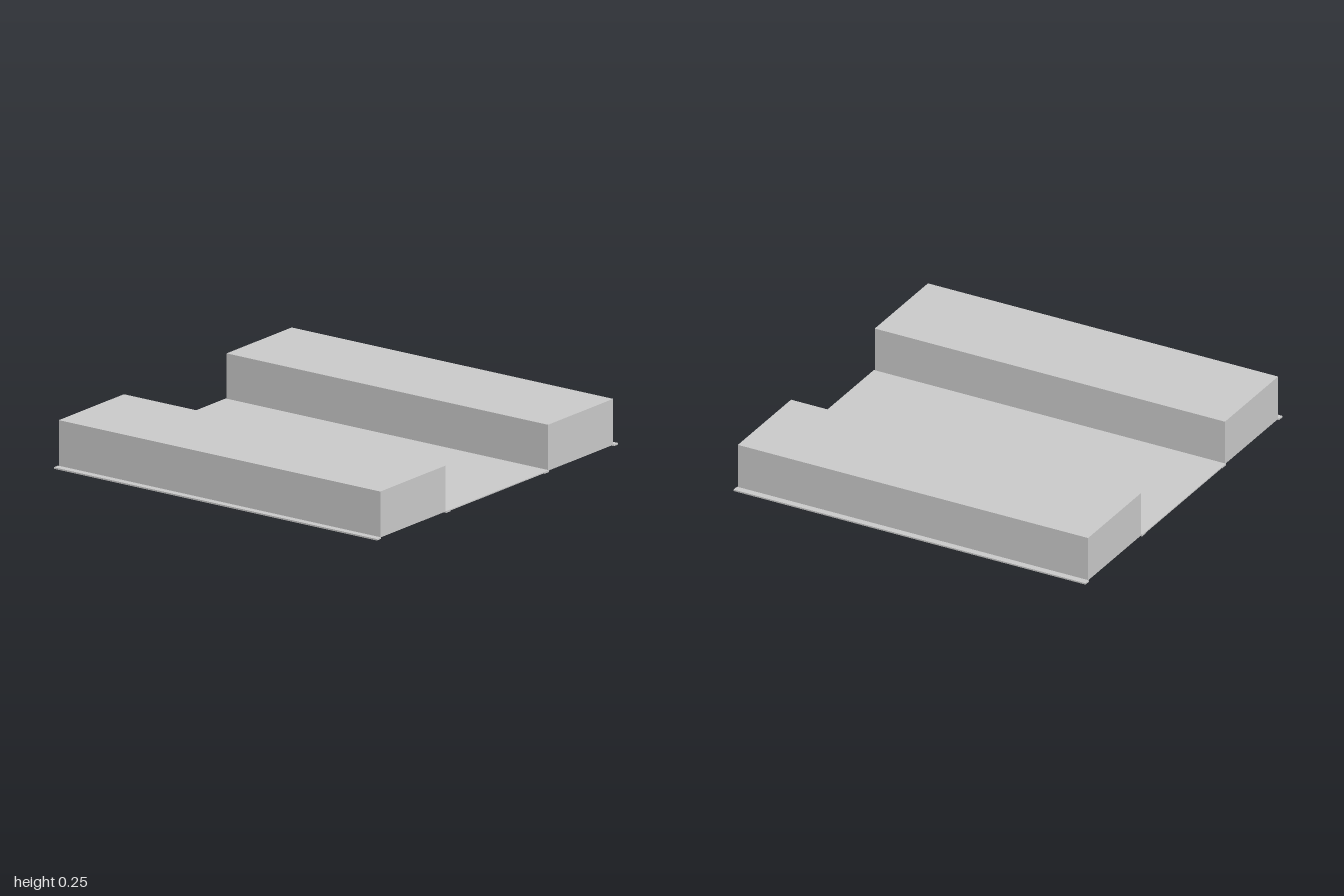
import * as THREE from 'three';

// Recessed twin-tube ceiling light: two open-bottomed housings with louvre blades
export function createModel() {
  const model = new THREE.Group();
  const mat = new THREE.MeshStandardMaterial({ color: 0xcccccc, side: THREE.DoubleSide });

  // Box given by its lower and upper corners
  const box = (parent, name, [x0, y0, z0], [x1, y1, z1]) => {
    const mesh = new THREE.Mesh(new THREE.BoxGeometry(x1 - x0, y1 - y0, z1 - z0), mat);
    mesh.position.set((x0 + x1) / 2, (y0 + y1) / 2, (z0 + z1) / 2);
    mesh.name = name;
    parent.add(mesh);
  };
  const rod = (parent, name, radius, length, y, z) => {
    const mesh = new THREE.Mesh(new THREE.CylinderGeometry(radius, radius, length, 24), mat);
    mesh.rotation.x = Math.PI / 2;
    mesh.position.set(0, y, z);
    mesh.name = name;
    parent.add(mesh);
  };

  const half = 0.27, height = 0.245, end = 0.995, t = 0.004, lip = 0.035;

  // Flat panel between the housings
  box(model, 'centrePanel', [-0.425, 0.004, -1], [0.425, 0.01, 1]);

  for (const side of [-1, 1]) {
    const housing = new THREE.Group();
    housing.name = side > 0 ? 'leftHousing' : 'rightHousing';
    housing.position.x = side * 0.695;

    // Shell, open at the bottom
    box(housing, 'housingTop', [-half, height - t, -end], [half, height, end]);
    for (const s of [-1, 1]) {
      const wall = s * (half - t / 2), endWall = s * (end - t / 2);
      box(housing, 'sideWall', [wall - t / 2, 0.003, -end], [wall + t / 2, height - t, end]);
      box(housing, 'endWall', [-half + t, 0.006, endWall - t / 2], [half - t, height - t, endWall + t / 2]);
      const flange = s * (half + lip / 2);
      box(housing, 'flange', [flange - lip / 2, 0, -1], [flange + lip / 2, 0.008, 1]);
    }

    // Louvre blades across the opening
    const bays = 14;
    for (let i = 1; i < bays; i++) {
      const z = -end + (2 * end * i) / bays;
      box(housing, 'louvreBlade', [-half + t, 0.006, z - 0.002], [half - t, 0.095, z + 0.002]);
    }

    // Lamp tube with pins at both ends
    rod(housing, 'lampTube', 0.043, 1.92, 0.14, 0);
    for (const s of [-1, 1]) rod(housing, 'lampPin', 0.015, 0.03, 0.14, s * 0.975);
    model.add(housing);
  }
  return model;
}
